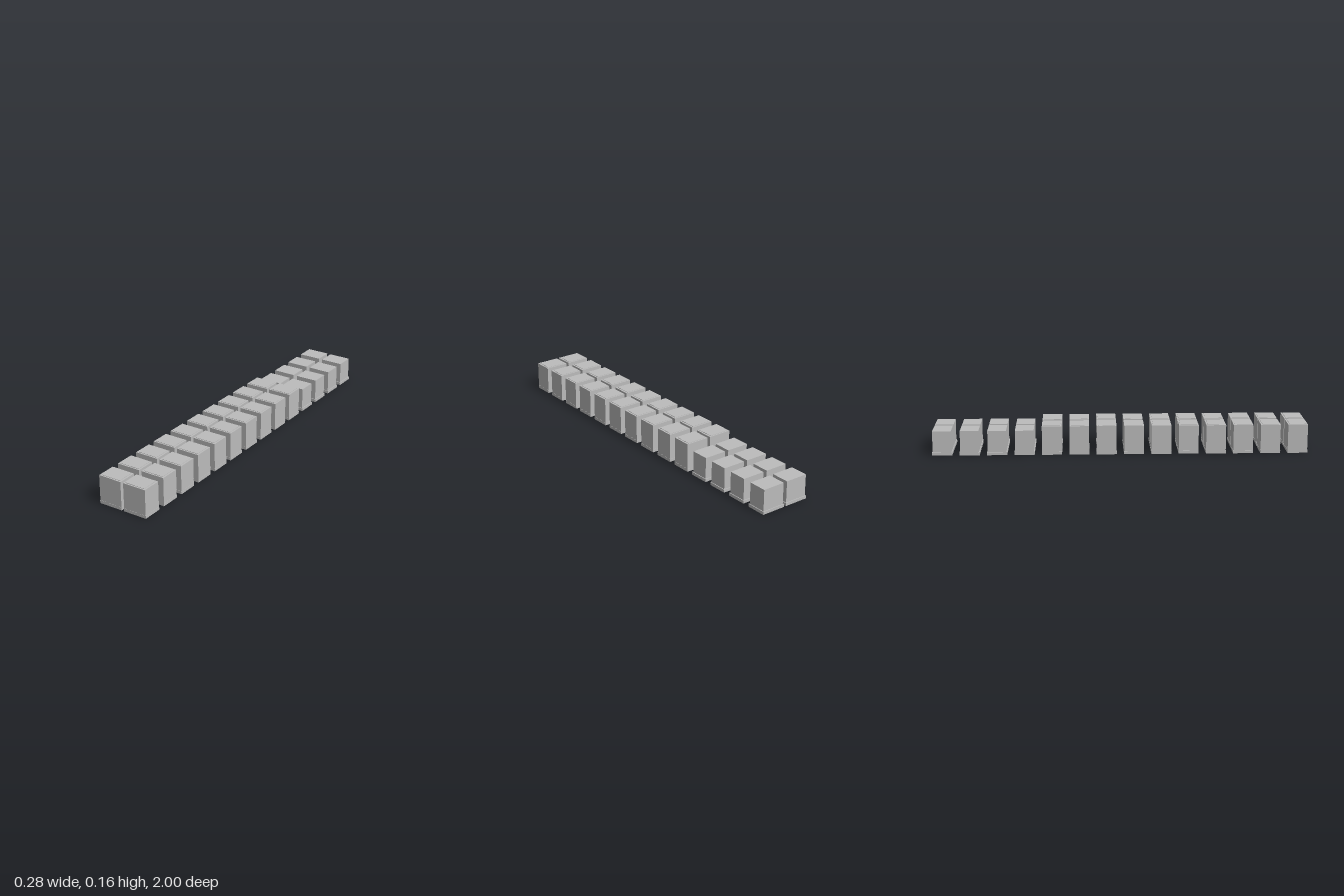
import * as THREE from 'three';

export function createModel() {
  const model = new THREE.Group();
  model.name = 'blockRows';
  const grey = new THREE.MeshStandardMaterial({ color: 0xbcbcbc });
  grey.name = 'light grey';

  const rows = 14, lowRows = 4;
  const width = 0.133, depth = 0.107, baseHeight = 0.016;
  const pitch = (2 - depth) / (rows - 1);

  // Box standing on height y
  function addBox(parent, name, w, h, d, y) {
    const mesh = new THREE.Mesh(new THREE.BoxGeometry(w, h, d), grey);
    mesh.name = name;
    mesh.position.y = y + h / 2;
    parent.add(mesh);
  }

  // Two columns of blocks; the rear rows are lower
  for (let row = 0; row < rows; row++) {
    const low = row < lowRows;
    const top = low ? 0.132 : 0.155;
    const inset = low ? 0.004 : 0.001;
    for (const side of [-1, 1]) {
      const block = new THREE.Group();
      block.name = low ? 'lowBlock' : 'tallBlock';
      block.position.set(side * 0.0735, 0, -1 + depth / 2 + row * pitch);
      addBox(block, 'base', width, baseHeight, depth, 0);
      addBox(block, 'body', width - 2 * inset, top - baseHeight, depth - 2 * inset, baseHeight);
      // Thin raised panel on the tall blocks
      if (!low) addBox(block, 'topPanel', width - 0.022, 0.002, depth - 0.018, top);
      model.add(block);
    }
  }
  return model;
}
